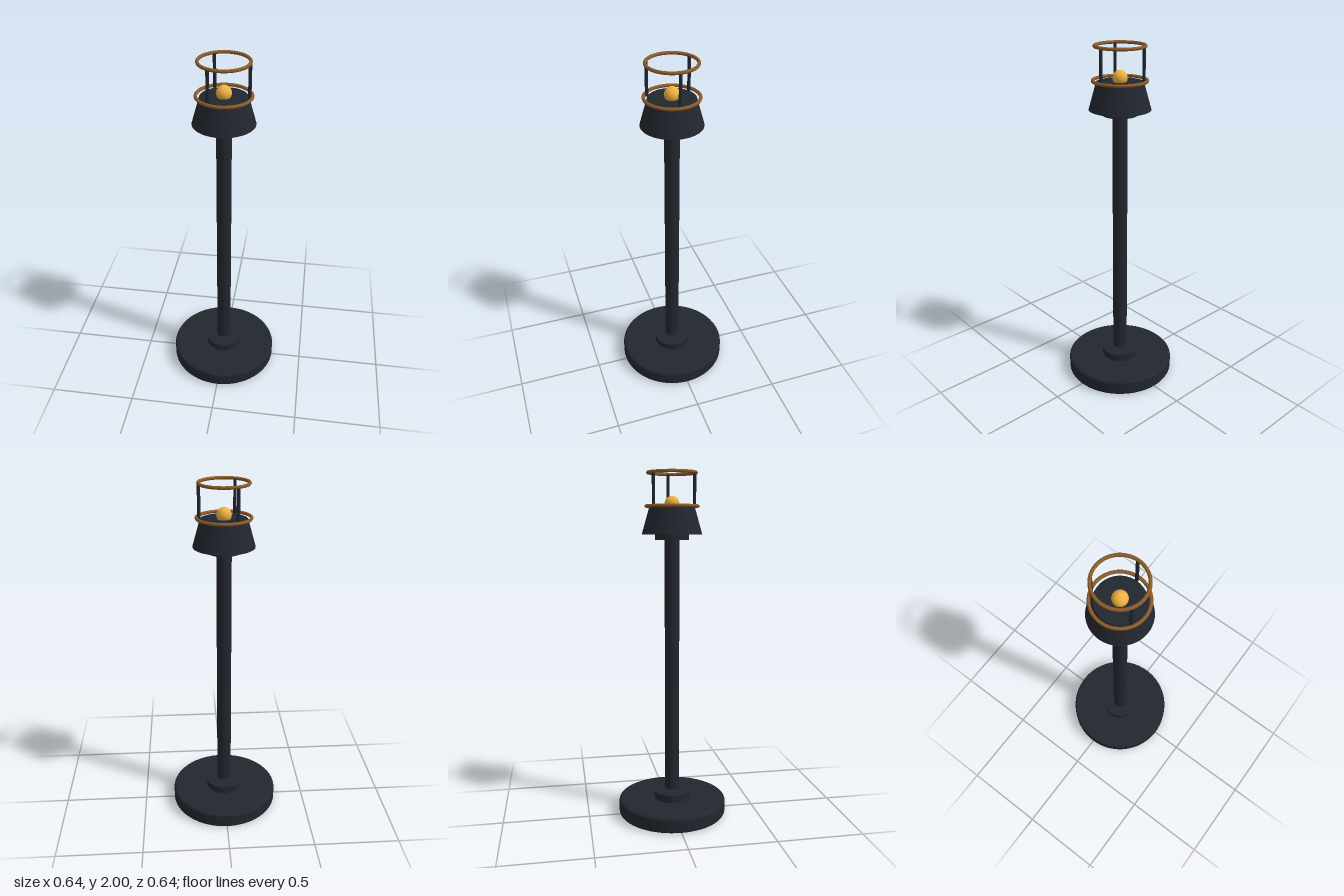
import * as THREE from 'three';

export function createModel() {
  const model = new THREE.Group();
  const iron = new THREE.MeshStandardMaterial({ color: 0x22262e });
  const brass = new THREE.MeshStandardMaterial({ color: 0x8a5a2a });
  const glow = new THREE.MeshStandardMaterial({ color: 0xf0b040 });

  const add = (name, geometry, material, x, y, z) => {
    const mesh = new THREE.Mesh(geometry, material);
    mesh.name = name;
    mesh.position.set(x, y, z);
    model.add(mesh);
    return mesh;
  };
  // Upright round part between two heights
  const column = (name, rBottom, rTop, y0, y1, x = 0, z = 0, sides = 48) =>
    add(name, new THREE.CylinderGeometry(rTop, rBottom, y1 - y0, sides), iron, x, (y0 + y1) / 2, z);
  // Flat-lying ring
  const ring = (name, radius, tube, y) => {
    add(name, new THREE.TorusGeometry(radius, tube, 12, 64), brass, 0, y, 0).rotation.x = Math.PI / 2;
  };

  // Heavy foot: a disc with rounded rims
  const R = 0.318, H = 0.092, b = 0.016;
  const profile = new THREE.Path();
  profile.moveTo(0, 0);
  profile.lineTo(R - b, 0);
  profile.absarc(R - b, b, b, -Math.PI / 2, 0, false);
  profile.absarc(R - b, H - b, b, 0, Math.PI / 2, false);
  profile.lineTo(0, H);
  // Extra rings beside the rims keep the flat faces flat
  const points = profile.getPoints(5);
  points.splice(1, 0, new THREE.Vector2(R - b - 0.004, 0));
  points.splice(points.length - 1, 0, new THREE.Vector2(R - b - 0.004, H));
  add('base', new THREE.LatheGeometry(points, 64), iron, 0, 0, 0);

  // Stem with its collars
  column('baseCollar', 0.107, 0.107, 0.09, 0.135);
  column('pole', 0.042, 0.042, 0.15, 1.63);
  column('headCollar', 0.096, 0.096, 1.625, 1.657);

  // Tapered lamp head and bulb
  column('lampHead', 0.17, 0.128, 1.655, 1.803, 0, 0, 64);
  add('bulb', new THREE.SphereGeometry(0.041, 32, 20), glow, 0, 1.825, 0);

  // Cage: two rings held by three posts
  ring('lowerRing', 0.146, 0.009, 1.81);
  ring('upperRing', 0.134, 0.009, 1.991);
  for (let i = 0; i < 3; i++) {
    const a = (i * Math.PI * 2) / 3;
    column('cagePost', 0.009, 0.009, 1.803, 1.99, 0.132 * Math.cos(a), 0.132 * Math.sin(a), 12);
  }
  return model;
}
